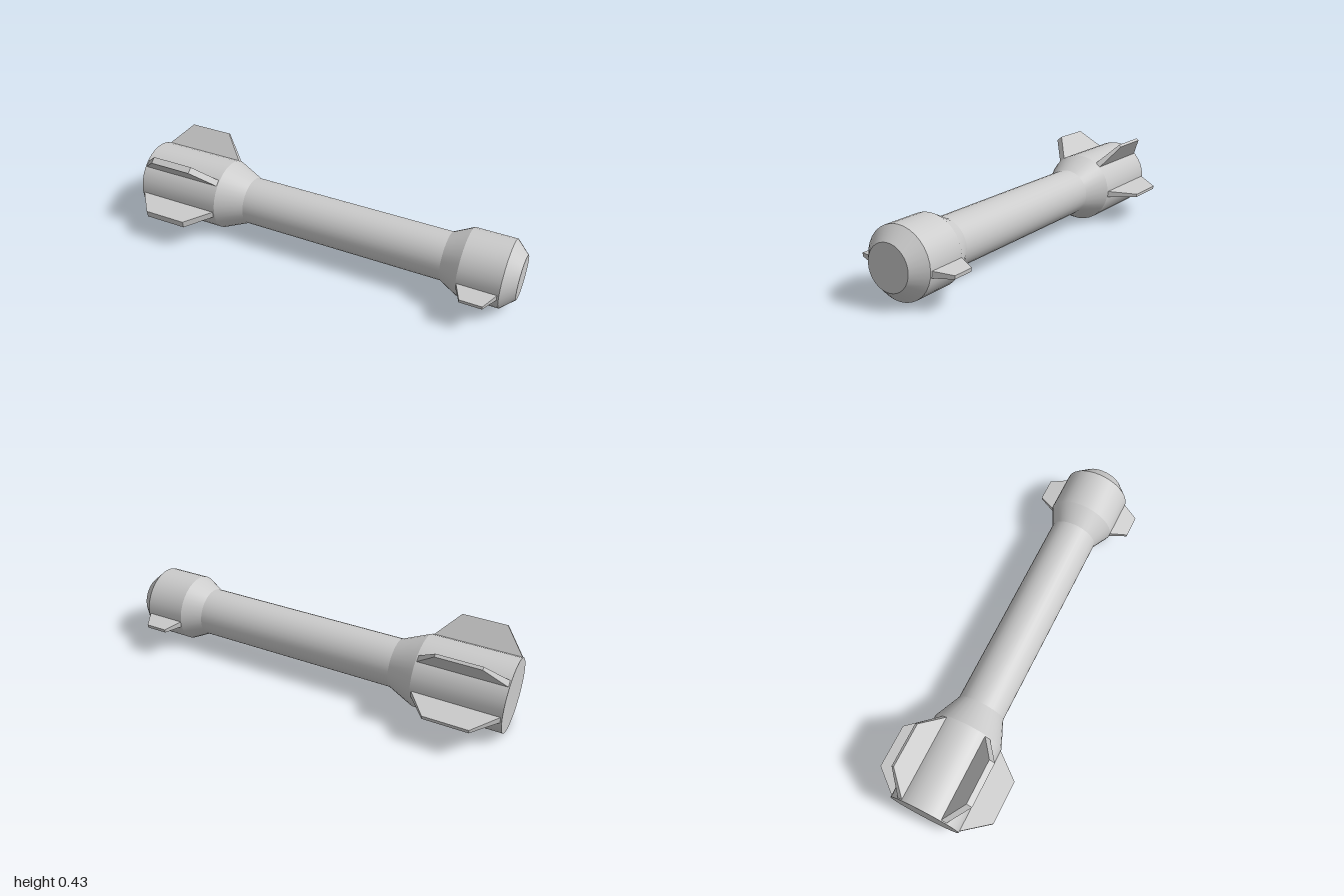
import * as THREE from 'three';
import { toCreasedNormals } from 'three/addons/utils/BufferGeometryUtils.js';
import { ConvexGeometry } from 'three/addons/geometries/ConvexGeometry.js';

const AXIS_Y = 0.182;
const grey = new THREE.MeshStandardMaterial({ color: 0xcccccc });

// Tapered fin: root and tip edges are [z, y] pairs, each spanning a range in x
function fin(name, root, rootX, tip, tipX) {
  const points = [];
  for (const x of rootX) {
    for (const [z, y] of root) {
      // sink the root slightly into the body
      points.push(new THREE.Vector3(x, AXIS_Y + (y - AXIS_Y) * 0.96, z * 0.96));
    }
  }
  for (const x of tipX) {
    for (const [z, y] of tip) points.push(new THREE.Vector3(x, y, z));
  }
  const mesh = new THREE.Mesh(new ConvexGeometry(points), grey);
  mesh.name = name;
  return mesh;
}

export function createModel() {
  const model = new THREE.Group();
  model.name = 'finnedRocket';

  // Body: wide tail, slim tube, flared nose with a blunt end
  const profile = [
    [0, -1], [0.181, -1], [0.181, -0.56], [0.122, -0.425], [0.122, 0.635],
    [0.17, 0.73], [0.17, 0.935], [0.109, 1], [0, 1],
  ].map(([r, x]) => new THREE.Vector2(r, x));
  const bodyGeometry = new THREE.LatheGeometry(profile, 32);
  bodyGeometry.rotateZ(-Math.PI / 2);
  const body = new THREE.Mesh(toCreasedNormals(bodyGeometry, 0.3), grey);
  body.name = 'body';
  body.position.y = AXIS_Y;
  model.add(body);

  // Tail fins: two raised, two nearly level
  const tailRoot = [-1, -0.56], tailTip = [-0.89, -0.67];
  model.add(
    fin('upperFrontFin', [[0.128, 0.311], [0.101, 0.332]], tailRoot,
      [[0.209, 0.409], [0.182, 0.43]], tailTip),
    fin('upperBackFin', [[-0.127, 0.311], [-0.101, 0.332]], tailRoot,
      [[-0.2, 0.415], [-0.188, 0.425]], tailTip),
    fin('sideFrontFin', [[0.178, 0.182], [0.174, 0.148]], tailRoot,
      [[0.307, 0.17], [0.303, 0.135]], tailTip),
    fin('sideBackFin', [[-0.178, 0.182], [-0.176, 0.148]], tailRoot,
      [[-0.306, 0.16], [-0.304, 0.143]], tailTip),
  );

  // Small nose fins, mirrored front to back
  for (const [name, s] of [['noseFrontFin', 1], ['noseBackFin', -1]]) {
    model.add(fin(name, [[s * 0.17, 0.182], [s * 0.166, 0.148]], [0.73, 0.93],
      [[s * 0.254, 0.166], [s * 0.252, 0.149]], [0.775, 0.885]));
  }
  return model;
}
